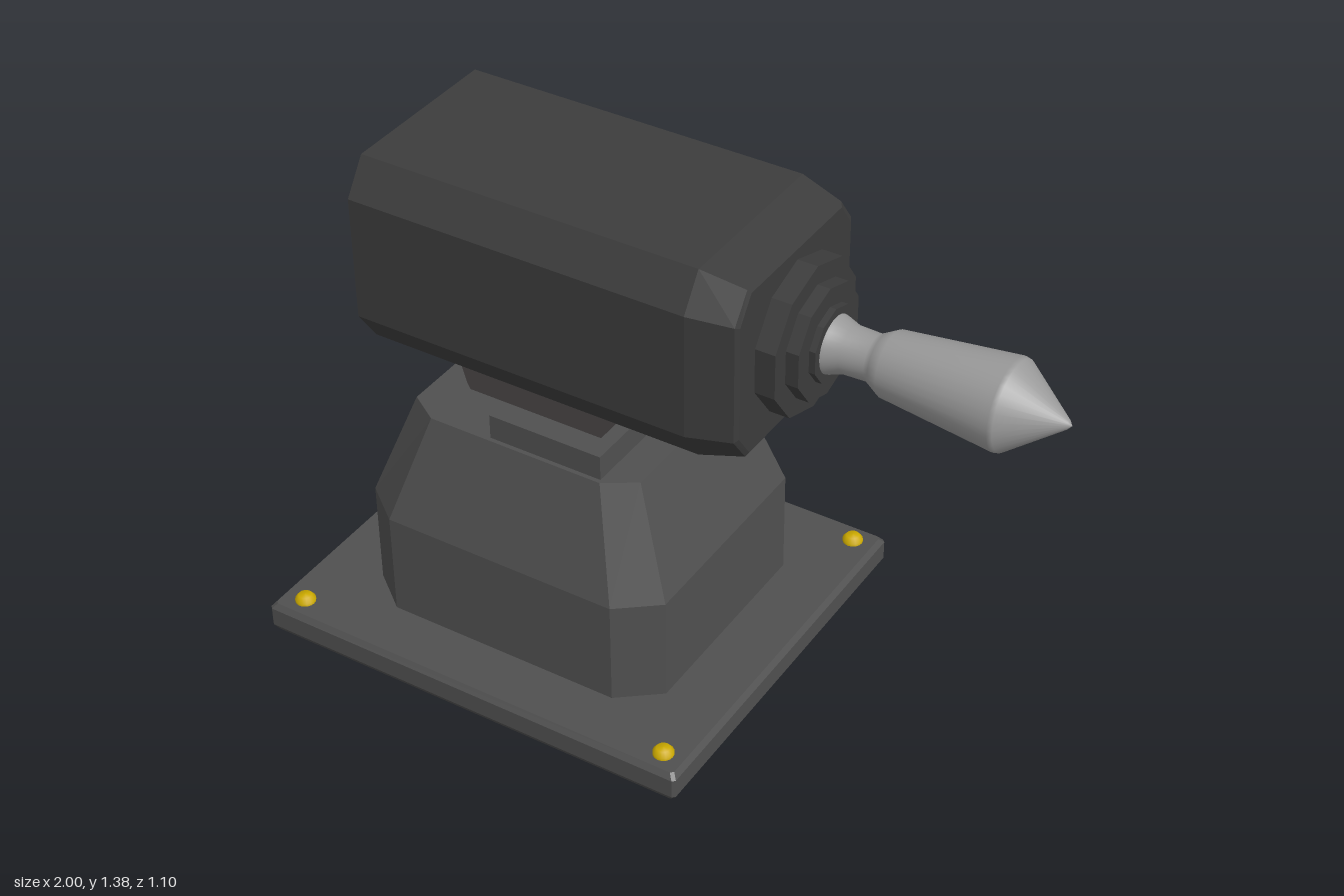
import * as THREE from 'three';

const mat = (color, flatShading = true) => new THREE.MeshStandardMaterial({ color, flatShading });

// Rectangle outline with cut corners, counter-clockwise in (u, v)
function chamferedRect(hu, hv, cu, cv) {
  return [
    [hu, -hv + cv], [hu, hv - cv], [hu - cu, hv], [-hu + cu, hv],
    [-hu, hv - cv], [-hu, -hv + cv], [-hu + cu, -hv], [hu - cu, -hv],
  ];
}

// Skin a closed body through sections { w, pts }; place(u, v, w) gives the 3D point
function loft(sections, place) {
  const rings = sections.map(({ w, pts }) => pts.map(([u, v]) => place(u, v, w)));
  const n = rings[0].length, pos = [];
  const tri = (a, b, c) => pos.push(...a, ...b, ...c);
  for (let i = 0; i < rings.length - 1; i++) {
    for (let j = 0; j < n; j++) {
      const k = (j + 1) % n, lo = rings[i], hi = rings[i + 1];
      tri(lo[j], lo[k], hi[k]);
      tri(lo[j], hi[k], hi[j]);
    }
  }
  const first = rings[0], last = rings[rings.length - 1];
  for (let j = 1; j < n - 1; j++) {
    tri(first[0], first[j + 1], first[j]);
    tri(last[0], last[j], last[j + 1]);
  }
  const geo = new THREE.BufferGeometry();
  geo.setAttribute('position', new THREE.Float32BufferAttribute(pos, 3));
  geo.computeVertexNormals();
  return geo;
}

export function createModel() {
  const model = new THREE.Group();
  model.name = 'turret';
  const add = (name, geo, material, x = 0, y = 0, z = 0, parent = model) => {
    const mesh = new THREE.Mesh(geo, material);
    mesh.name = name;
    mesh.position.set(x, y, z);
    parent.add(mesh);
    return mesh;
  };
  const baseGrey = mat(0x505050), headGrey = mat(0x3c3c3c), neckGrey = mat(0x494545);
  const tipGrey = mat(0x9a9a9a, false), yellow = mat(0xccaa00, false);
  const upright = (u, v, w) => [v, w, u];
  const lengthwise = (u, v, w) => [w, u, v];

  // Base plate with softened edges
  const plate = [[0, 0.012], [0.02, 0], [0.075, 0], [0.09, 0.012]].map(([w, inset]) => ({
    w, pts: chamferedRect(0.552 - inset, 0.635 - inset, 0.008, 0.008),
  }));
  add('basePlate', loft(plate, upright), baseGrey, -0.365);

  // Bolts in the corners of the plate
  const boltProfile = [[0.028, 0], [0.028, 0.01], [0.018, 0.022], [0, 0.024]]
    .map(([r, y]) => new THREE.Vector2(r, y));
  const boltGeo = new THREE.LatheGeometry(boltProfile, 16);
  for (const x of [-0.925, 0.2]) {
    for (const z of [-0.49, 0.49]) add('bolt', boltGeo, yellow, x, 0.088, z);
  }

  // Pedestal: straight below, tapering above
  const pedestal = [
    { w: 0.085, pts: chamferedRect(0.387, 0.45, 0.087, 0.11) },
    { w: 0.39, pts: chamferedRect(0.387, 0.45, 0.087, 0.11) },
    { w: 0.69, pts: chamferedRect(0.29, 0.34, 0.055, 0.085) },
  ];
  add('pedestal', loft(pedestal, upright), baseGrey, -0.36);

  // U-shaped bracket on the pedestal, open towards the rear
  const bracket = new THREE.Group();
  bracket.name = 'bracket';
  model.add(bracket);
  for (const s of [-1, 1]) {
    add('bracketSide', new THREE.BoxGeometry(0.33, 0.08, 0.04), baseGrey, -0.275, 0.72, s * 0.258, bracket);
  }
  add('bracketFront', new THREE.BoxGeometry(0.04, 0.08, 0.48), baseGrey, -0.13, 0.72, 0, bracket);

  // Pivot disc between pedestal and head
  const pivot = add('pivotDisc', new THREE.CylinderGeometry(0.24, 0.24, 0.27, 32), neckGrey, -0.39, 0.8, 0);
  pivot.rotation.x = Math.PI / 2;

  // Head: long cut-corner block narrowing at the muzzle end
  const head = [
    { w: -0.81, pts: chamferedRect(0.268, 0.305, 0.095, 0.065) },
    { w: 0.15, pts: chamferedRect(0.268, 0.305, 0.095, 0.065) },
    { w: 0.268, pts: chamferedRect(0.24, 0.275, 0.075, 0.055) },
    { w: 0.275, pts: chamferedRect(0.23, 0.262, 0.07, 0.05) },
  ];
  add('head', loft(head, lengthwise), headGrey, 0, 1.117, 0);

  // Stepped ten-sided collars and the pointed tip, turned along x
  const muzzle = new THREE.Group();
  muzzle.name = 'muzzle';
  muzzle.position.y = 1.115;
  muzzle.rotation.z = -Math.PI / 2;
  model.add(muzzle);
  for (const [r, from, to] of [[0.203, 0.26, 0.33], [0.152, 0.32, 0.365], [0.1, 0.355, 0.382]]) {
    const geo = new THREE.CylinderGeometry(r, r, to - from, 10, 1, false, Math.PI / 2);
    add('collar', geo, headGrey, 0, (from + to) / 2, 0, muzzle);
  }
  const tipProfile = [
    [0.078, 0.375], [0.074, 0.39], [0.062, 0.425], [0.06, 0.49], [0.068, 0.505],
    [0.085, 0.535], [0.118, 0.84], [0.115, 0.853], [0.012, 0.99], [0, 1],
  ].map(([r, y]) => new THREE.Vector2(r, y));
  add('tip', new THREE.LatheGeometry(tipProfile, 32), tipGrey, 0, 0, 0, muzzle);

  return model;
}
